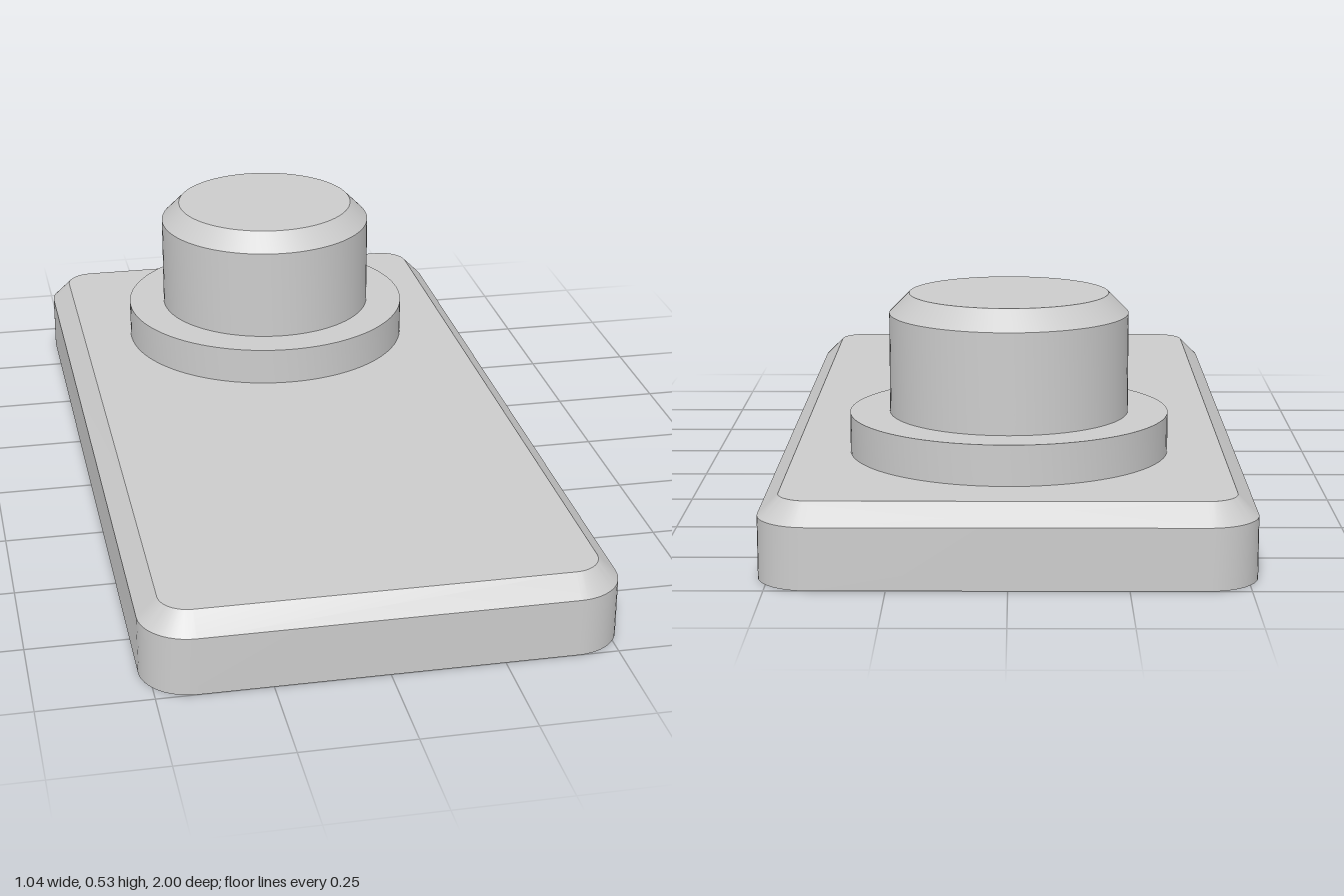
import * as THREE from 'three';
import { toCreasedNormals } from 'three/addons/utils/BufferGeometryUtils.js';

const material = new THREE.MeshStandardMaterial({ color: 0xcccccc });
const CHAMFER = 0.0445;

function addPart(group, name, geometry) {
  const mesh = new THREE.Mesh(toCreasedNormals(geometry, 0.5), material);
  mesh.name = name;
  group.add(mesh);
  return mesh;
}

// Rounded rectangle at height y, counterclockwise seen from above
function roundedRing(halfX, halfZ, radius, y, steps = 12) {
  const ring = [];
  const signs = [[1, 1], [-1, 1], [-1, -1], [1, -1]];
  signs.forEach(([sx, sz], corner) => {
    for (let i = 0; i <= steps; i++) {
      const a = (corner + i / steps) * Math.PI / 2;
      ring.push([
        sx * (halfX - radius) + radius * Math.cos(a),
        y,
        -sz * (halfZ - radius) - radius * Math.sin(a),
      ]);
    }
  });
  return ring;
}

// Closed solid through a stack of rings, bottom to top
function loft(rings) {
  const n = rings[0].length;
  const last = rings.length - 1;
  const vertices = rings.flat();
  vertices.push([0, rings[0][0][1], 0], [0, rings[last][0][1], 0]);
  const bottom = vertices.length - 2, top = vertices.length - 1;
  const index = [];
  for (let i = 0; i < n; i++) {
    const j = (i + 1) % n;
    for (let r = 0; r < last; r++) {
      const a = r * n + i, b = r * n + j;
      index.push(a, b, b + n, a, b + n, a + n);
    }
    index.push(bottom, j, i, top, last * n + i, last * n + j);
  }
  const geometry = new THREE.BufferGeometry();
  geometry.setAttribute('position', new THREE.Float32BufferAttribute(vertices.flat(), 3));
  geometry.setIndex(index);
  return geometry;
}

function turned(profile) {
  return new THREE.LatheGeometry(profile.map(([r, y]) => new THREE.Vector2(r, y)), 96);
}

export function createModel() {
  const group = new THREE.Group();

  // Base plate with rounded corners and a chamfered top edge
  const halfX = 0.522, halfZ = 1, radius = 0.111, plateTop = 0.178;
  addPart(group, 'basePlate', loft([
    roundedRing(halfX, halfZ, radius, 0),
    roundedRing(halfX, halfZ, radius, plateTop - CHAMFER),
    roundedRing(halfX - CHAMFER, halfZ - CHAMFER, radius - CHAMFER, plateTop),
  ]));

  // Round collar and chamfered knob near the back
  const knob = new THREE.Group();
  knob.name = 'knobAssembly';
  knob.position.z = -0.477;
  group.add(knob);
  const collarTop = 0.267, knobTop = 0.534, knobRadius = 0.266;
  addPart(knob, 'collar', turned([
    [0.355, plateTop], [0.355, collarTop], [knobRadius, collarTop],
  ]));
  addPart(knob, 'knob', turned([
    [knobRadius, collarTop], [knobRadius, knobTop - CHAMFER],
    [knobRadius - CHAMFER, knobTop], [0, knobTop],
  ]));

  return group;
}
